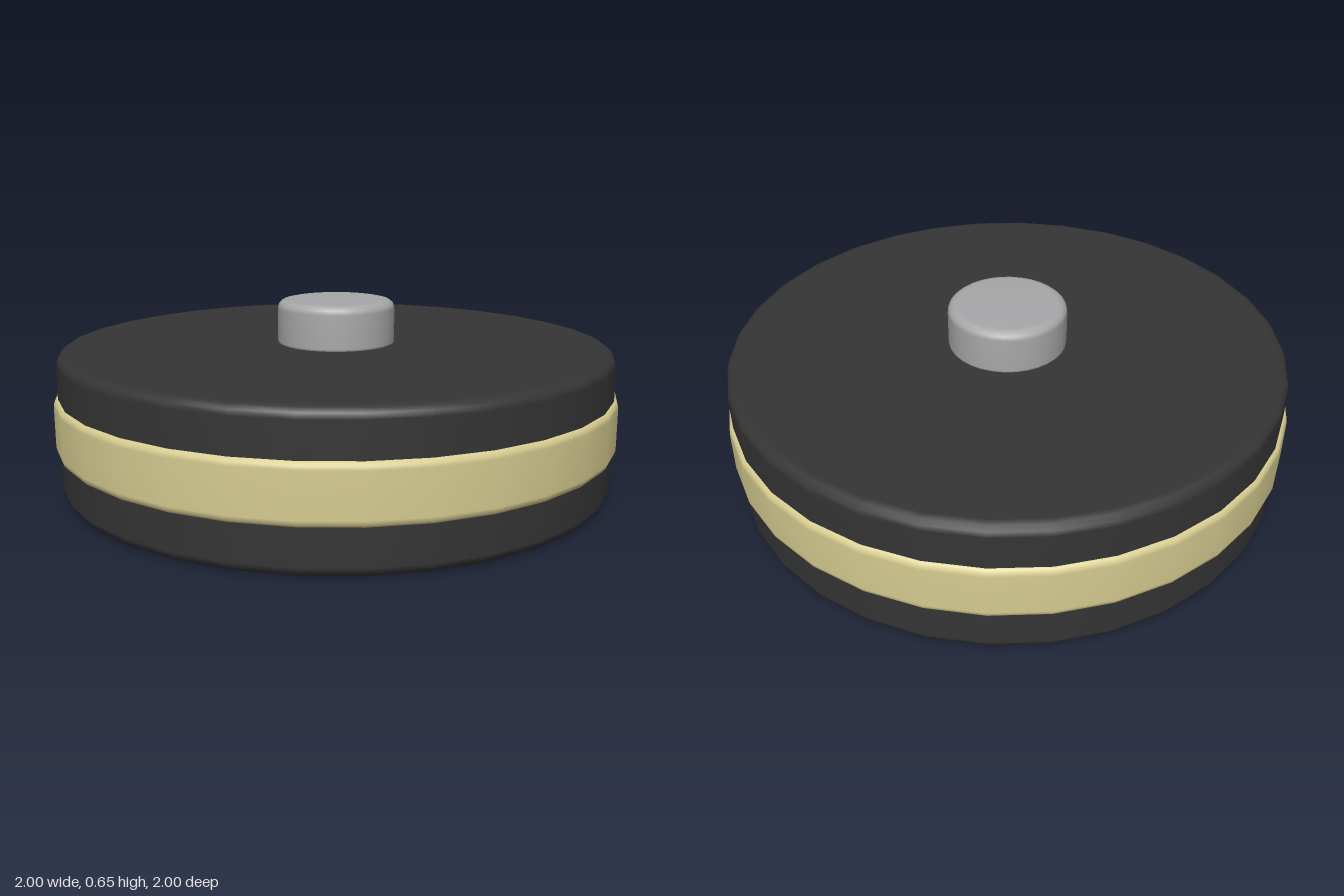
import * as THREE from 'three';

const SEGMENTS = 32;

// Solid disc between y0 and y1 with rounded rims (bevel radius and height at each end)
function roundedDisc(name, radius, y0, y1, bottom, top, material) {
  const points = [new THREE.Vector2(0, y0)];
  const steps = 3;
  for (let i = 0; i <= steps; i++) {
    const a = (i / steps) * Math.PI / 2;
    points.push(new THREE.Vector2(
      radius - bottom[0] * (1 - Math.sin(a)), y0 + bottom[1] * (1 - Math.cos(a))));
  }
  for (let i = 0; i <= steps; i++) {
    const a = (i / steps) * Math.PI / 2;
    points.push(new THREE.Vector2(
      radius - top[0] * (1 - Math.cos(a)), y1 - top[1] * (1 - Math.sin(a))));
  }
  points.push(new THREE.Vector2(0, y1));
  const mesh = new THREE.Mesh(new THREE.LatheGeometry(points, SEGMENTS), material);
  mesh.name = name;
  return mesh;
}

export function createModel() {
  const black = new THREE.MeshStandardMaterial({ name: 'charcoal', color: 0x353535 });
  const gold = new THREE.MeshStandardMaterial({ name: 'pale gold', color: 0xd6cc90 });
  const grey = new THREE.MeshStandardMaterial({ name: 'silver grey', color: 0xa8a8aa });

  const model = new THREE.Group();
  model.name = 'puck';
  model.add(
    // Main dark body
    roundedDisc('body', 0.985, 0, 0.5, [0.04, 0.035], [0.04, 0.035], black),
    // Band around the middle, slightly proud of the body
    roundedDisc('band', 1.0, 0.155, 0.35, [0.02, 0.025], [0.02, 0.025], gold),
    // Raised button on top
    roundedDisc('button', 0.21, 0.495, 0.655, [0.01, 0.012], [0.035, 0.03], grey),
  );
  return model;
}
